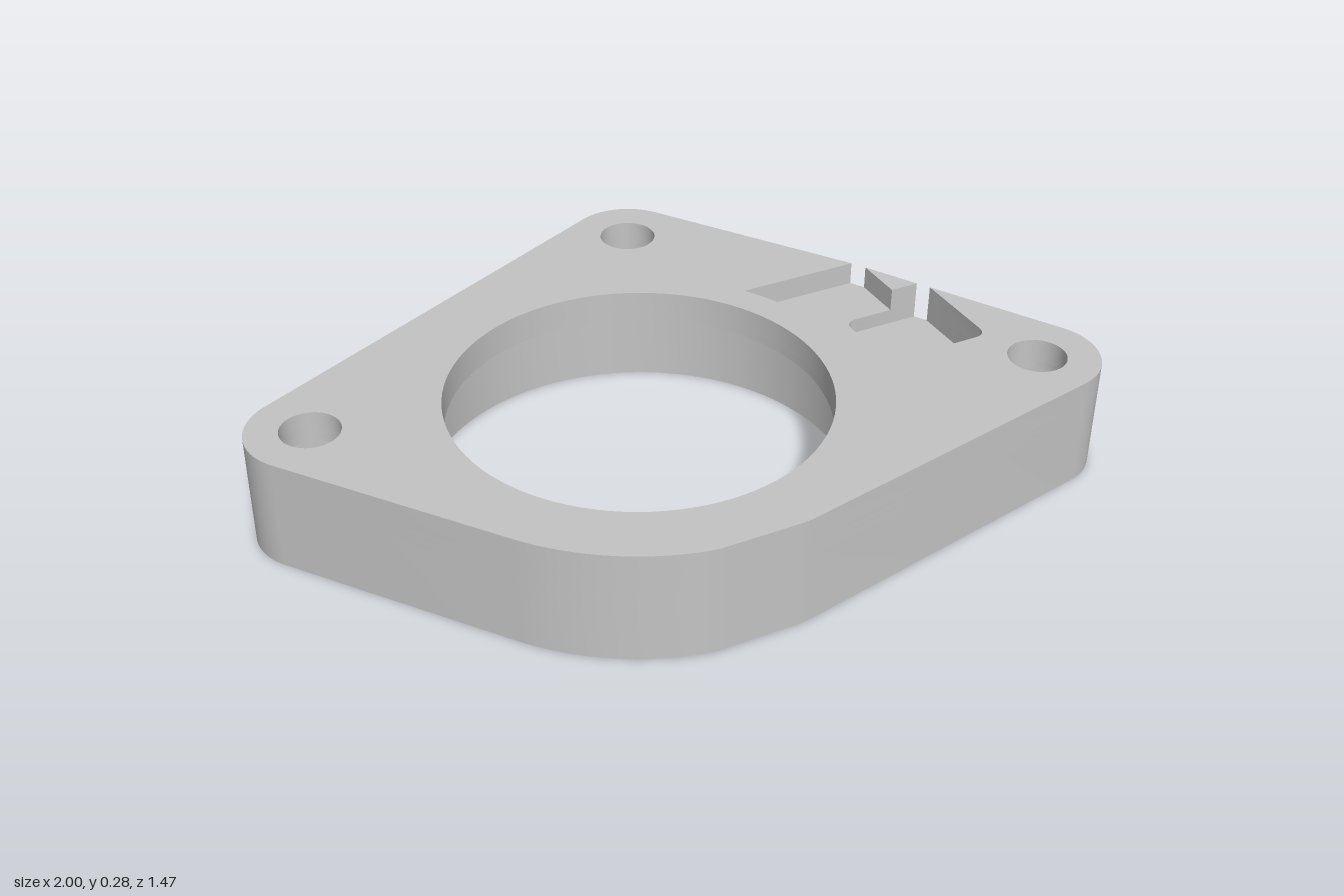
import * as THREE from 'three';
import { toCreasedNormals } from 'three/addons/utils/BufferGeometryUtils.js';

// Plan coordinates are [x, z]; heights are y.
const TOP = 0.285;
const LIP = 0.204; // underside of the bore lip and ceiling of the counterbores
const RECESS = 0.225; // shallow recess floor
const POCKET = 0.185; // deep pocket floor
const FLAT = 0.732; // front flat that trims the round around the bore
const BORE = [-0.1, 0.122];
const LUGS = [[0.209, -0.583], [0.844, 0.406], [-0.846, -0.075]];

function arc([x, z], r, a0, a1, n = 24) {
  return Array.from({ length: n + 1 }, (_, i) => {
    const a = a0 + ((a1 - a0) * i) / n;
    return [x + r * Math.cos(a), z + r * Math.sin(a)];
  });
}

// Outline wrapped tightly around a ring of circles, with an optional cut let into the right edge
function outline(cut = []) {
  const ring = [
    { c: LUGS[0], r: 0.155 },
    { c: [0.669, -0.182], r: 0.007 },
    { c: LUGS[1], r: 0.155 },
    { c: BORE, r: 0.62 },
    { c: LUGS[2], r: 0.154 },
  ];
  const normal = (a, b) => {
    const dx = b.c[0] - a.c[0], dz = b.c[1] - a.c[1];
    return Math.atan2(dz, dx) - Math.acos((a.r - b.r) / Math.hypot(dx, dz));
  };
  const pts = [];
  ring.forEach((k, i) => {
    const a0 = normal(ring[(i + 4) % 5], k);
    let a1 = normal(k, ring[(i + 1) % 5]);
    while (a1 < a0) a1 += Math.PI * 2;
    while (a1 - a0 > Math.PI * 2) a1 -= Math.PI * 2;
    pts.push(...arc(k.c, k.r, a0, a1, i === 1 ? 2 : 24));
    if (i === 1) pts.push(...cut);
  });
  return pts.map(([x, z]) => [x, Math.min(z, FLAT)]);
}

const toVectors = (pts) => pts.map(([x, z]) => new THREE.Vector2(x, -z));

function slab(name, pts, holes, y0, y1, material) {
  const shape = new THREE.Shape(toVectors(pts));
  // Holes run against the outline so that their walls face inwards
  for (const [c, r] of holes) {
    shape.holes.push(new THREE.Path(toVectors(arc(c, r, Math.PI * 2, 0, r > 0.3 ? 96 : 40).slice(0, -1))));
  }
  const geo = new THREE.ExtrudeGeometry(shape, { depth: y1 - y0, bevelEnabled: false });
  geo.rotateX(-Math.PI / 2).translate(0, y0, 0);
  const mesh = new THREE.Mesh(toCreasedNormals(geo, 0.5), material);
  mesh.name = name;
  return mesh;
}

export function createModel() {
  const group = new THREE.Group();
  group.name = 'flangePlate';
  const grey = new THREE.MeshStandardMaterial({ color: 0xc4c4c4 });
  grey.name = 'plain grey';

  // Wide holes below the lip, narrow holes above it
  const wide = [[BORE, 0.53], ...LUGS.map((c) => [c, 0.133])];
  const narrow = [[BORE, 0.466], ...LUGS.map((c) => [c, 0.073])];

  // Rounded pocket walls, ending where the pocket breaks through the right edge
  const q = Math.PI / 2;
  const pocketEnd = [
    ...arc([0.588, 0.238], 0.03, 2 * q, q, 6),
    ...arc([0.761, 0.238], 0.03, q, 0, 6),
    [0.791, 0.012],
  ];
  const pocketCut = [[0.772, -0.02], ...arc([0.588, 0.01], 0.03, 3 * q, 2 * q, 6), ...pocketEnd];

  // Shallow recess with an inner wall concentric to the bore, joined to the pocket
  const r = 0.547;
  const recessCut = [
    ...arc(BORE, r, Math.asin((-0.185 - BORE[1]) / r), Math.asin((0.185 - BORE[1]) / r), 16),
    [0.558, 0.185],
    ...pocketEnd,
  ];

  group.add(
    slab('base', outline(), wide, 0, POCKET, grey),
    slab('pocketLayer', outline(pocketCut), wide, POCKET, LIP, grey),
    slab('lipLayer', outline(pocketCut), narrow, LIP, RECESS, grey),
    slab('topLayer', outline(recessCut), narrow, RECESS, TOP, grey),
    // Small wall left standing between the two edge notches
    slab('edgeWall', [[0.696, -0.15], [0.772, -0.02], [0.696, -0.02]], [], RECESS, TOP, grey),
  );
  return group;
}
